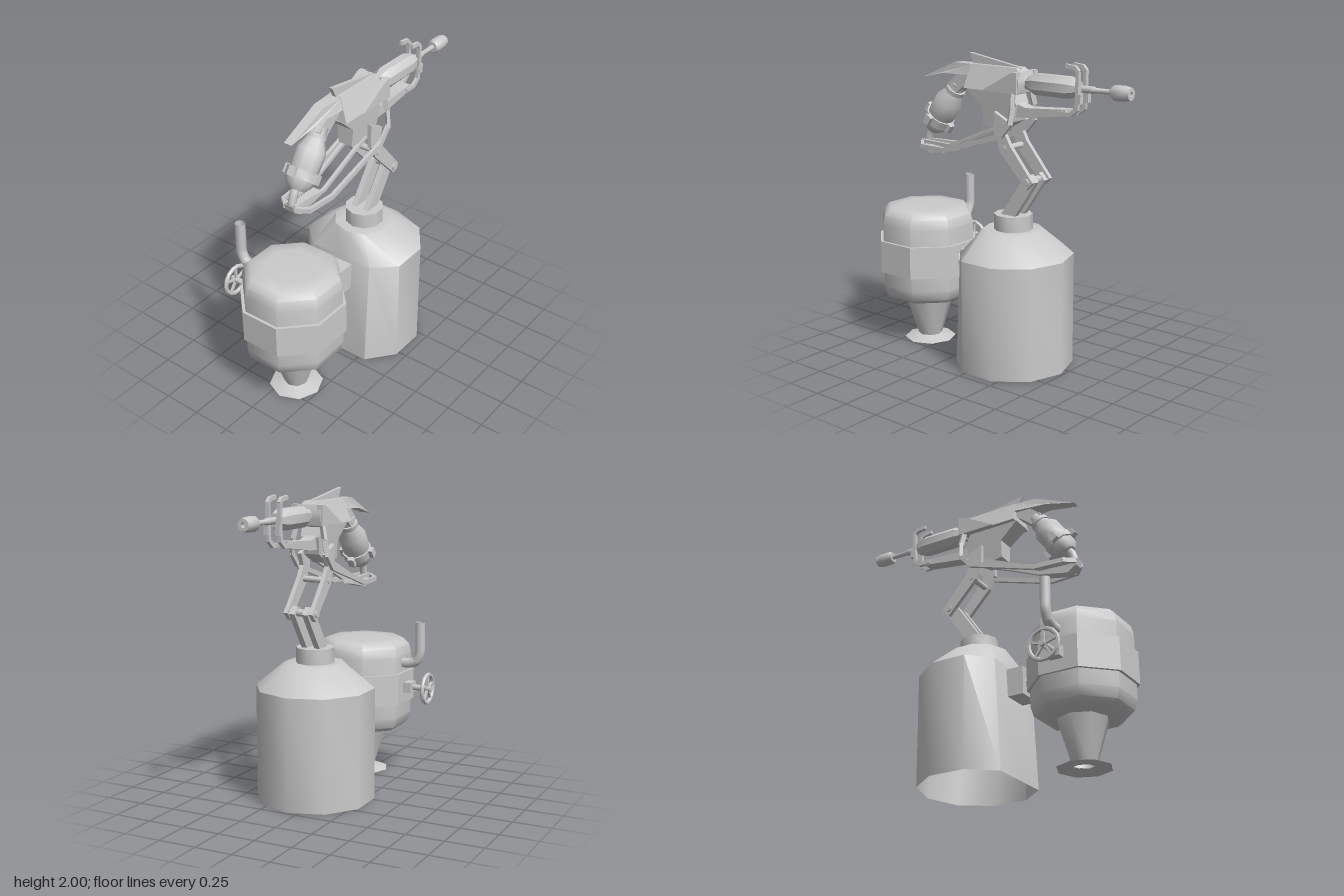
import * as THREE from 'three';
import { toCreasedNormals } from 'three/addons/utils/BufferGeometryUtils.js';

const MID = 0.07; // depth of the common centre plane
const mat = new THREE.MeshStandardMaterial({ color: 0xcccccc, side: THREE.DoubleSide });

export function createModel() {
  const model = new THREE.Group();

  const add = (name, geo, crease = 0.5, parent = model) => {
    const mesh = new THREE.Mesh(toCreasedNormals(geo, crease), mat);
    mesh.name = name;
    parent.add(mesh);
    return mesh;
  };
  // Turned shape from [radius, height] pairs, bottom to top
  const turned = (pts, sides, start = 0) =>
    new THREE.LatheGeometry(pts.map(p => new THREE.Vector2(...p)), sides, start);
  // Side profile given thickness in z; width(x, y) optionally scales it
  const plate = (name, pts, z, thick, width) => {
    const shape = new THREE.Shape(pts.map(p => new THREE.Vector2(...p)));
    const geo = new THREE.ExtrudeGeometry(shape, { depth: thick, bevelEnabled: false, curveSegments: 8 });
    geo.translate(0, 0, -thick / 2);
    if (width) {
      const p = geo.attributes.position;
      for (let i = 0; i < p.count; i++) p.setZ(i, p.getZ(i) * width(p.getX(i), p.getY(i)));
    }
    geo.translate(0, 0, z);
    return add(name, geo, 0.4);
  };
  const box = (name, x, y, z, w, h, d) =>
    add(name, new THREE.BoxGeometry(w, h, d).translate(x, y, z));
  // Square bars joining a chain of points
  const bars = (name, pts, w, h) => {
    for (let i = 1; i < pts.length; i++) {
      const a = new THREE.Vector3(...pts[i - 1]), b = new THREE.Vector3(...pts[i]);
      const m = add(name, new THREE.BoxGeometry(w, h, a.distanceTo(b) + h * 0.4));
      m.position.copy(a).lerp(b, 0.5);
      m.lookAt(b);
    }
  };
  // Pin lying along z
  const pin = (name, x, y, z, r, len, sides = 10) =>
    add(name, new THREE.CylinderGeometry(r, r, len, sides).rotateX(Math.PI / 2).translate(x, y, z), 0.8);
  const pipe = (name, pts, r, sides) => {
    const curve = new THREE.CatmullRomCurve3(pts.map(p => new THREE.Vector3(...p)), false, 'catmullrom', 0.3);
    return add(name, new THREE.TubeGeometry(curve, 24, r, sides), 0.8);
  };

  // Base tower: ten sides, flattened and leaning on the tank side
  const tower = turned([[0.39, 0], [0.39, 0.74], [0.195, 0.9], [0.125, 0.9]], 10, Math.PI / 2);
  tower.translate(0.095, 0, MID);
  const tp = tower.attributes.position;
  for (let i = 0; i < tp.count; i++) tp.setX(i, Math.max(tp.getX(i), -0.2 + 0.055 * tp.getY(i)));
  add('tower', tower, 0.8);
  add('towerNeck', turned([[0.125, 0.88], [0.125, 1], [0, 1]], 10, Math.PI / 2).translate(0.095, 0, MID), 0.8);

  // Side tank with band, foot and base flange
  const tankPart = (name, pts, crease = 0.8) =>
    add(name, turned(pts, 8, Math.PI / 8).translate(-0.65, 0, MID), crease);
  tankPart('tank', [[0, 0.3], [0.17, 0.3], [0.27, 0.318], [0.305, 0.345], [0.325, 0.41], [0.325, 0.84],
    [0.31, 0.9], [0.27, 0.938], [0.18, 0.943], [0, 0.943]]);
  tankPart('tankBand', [[0.325, 0.51], [0.345, 0.51], [0.345, 0.725], [0.325, 0.725]], 0.5);
  add('tankFoot', turned([[0.08, 0.025], [0.165, 0.3]], 8).translate(-0.64, 0, MID), 0.8);
  add('footFlange', turned([[0.08, 0.0], [0.175, 0.0], [0.08, 0.028]], 8).translate(-0.64, 0, MID));

  // Coupling between tank and tower
  box('couplingBlock', -0.215, 0.618, MID, 0.13, 0.185, 0.18);
  add('couplingPipe', turned([[0.07, 0], [0.05, 0.03], [0.05, 0.06], [0.07, 0.09]], 10)
    .rotateZ(-Math.PI / 2).translate(-0.35, 0.62, MID));

  // Exhaust pipe
  pipe('exhaustPipe', [[-0.635, 0.79, -0.2], [-0.635, 0.79, -0.28], [-0.635, 0.81, -0.33],
    [-0.635, 0.87, -0.355], [-0.635, 0.96, -0.355], [-0.635, 1.08, -0.355]], 0.034, 8);

  // Valve wheel
  box('valveMount', -0.645, 0.62, -0.27, 0.09, 0.07, 0.07);
  pin('valveShaft', -0.645, 0.62, -0.36, 0.02, 0.16, 8);
  add('valveRim', new THREE.TorusGeometry(0.098, 0.014, 6, 14).translate(-0.645, 0.62, -0.41), 0.8);
  for (let i = 0; i < 5; i++) {
    const a = i * Math.PI * 2 / 5 + Math.PI / 2;
    bars('valveSpoke', [[-0.645, 0.62, -0.41],
      [-0.645 + 0.095 * Math.cos(a), 0.62 + 0.095 * Math.sin(a), -0.41]], 0.016, 0.014);
  }

  // Folding support arm, mirrored about the centre plane
  for (const s of [-1, 1]) {
    plate('lowerArm', [[0.04, 0.99], [0.15, 0.99], [0.24, 1.12], [0.32, 1.24], [0.275, 1.285], [0.235, 1.27]],
      MID + s * 0.046, 0.038);
    plate('upperArm', [[0.275, 1.195], [0.325, 1.245], [0.145, 1.46], [0.09, 1.56], [0.02, 1.55], [0.065, 1.415]],
      MID + s * 0.088, 0.028);
    plate('pivotBracket', [[0.02, 1.5], [0.1, 1.5], [0.14, 1.6], [0.02, 1.66]], MID + s * 0.088, 0.028);
  }
  pin('elbowPin', 0.275, 1.245, MID, 0.024, 0.23);
  pin('shoulderPin', 0.1, 1.435, MID, 0.02, 0.22);

  // Receiver: tapered upper housing, lower housing, cheek plates and collar
  plate('upperReceiver', [[-0.23, 1.785], [0.19, 1.785], [0.19, 1.9], [0.15, 1.935], [-0.21, 1.935]],
    MID, 0.2, (x, y) => 1 - 0.55 * (y - 1.785) / 0.15);
  plate('lowerReceiver', [[-0.235, 1.785], [-0.11, 1.675], [-0.11, 1.555], [0.03, 1.535], [0.14, 1.6],
    [0.165, 1.71], [0.13, 1.785]], MID, 0.14, (x, y) => 0.7 + 1.2 * (y - 1.535));
  plate('topFin', [[-0.25, 2.0], [-0.21, 1.92], [0.17, 1.925], [0.16, 1.935]], MID, 0.025);
  for (const s of [-1, 1])
    plate('cheekPlate', [[-0.07, 1.785], [0.2, 1.785], [0.2, 1.915], [0.165, 1.915]], MID + s * 0.09, 0.04);
  plate('frontCollar', [[0.17, 1.775], [0.2, 1.785], [0.21, 1.835], [0.21, 1.86], [0.19, 1.915], [0.165, 1.915]],
    MID, 0.2);

  // Pointed tail cover
  plate('tailCover', [[-0.65, 1.81], [-0.45, 1.855], [-0.2, 1.865], [-0.18, 1.932], [-0.36, 1.932]],
    MID, 0.14, (x, y) => (0.4 + 1.3 * (x + 0.65)) * (y > 1.9 ? 0.65 : 1));

  // Barrel with tip
  const alongX = geo => geo.rotateZ(-Math.PI / 2).translate(0, 1.845, MID);
  add('barrel', alongX(turned([[0, 0.17], [0.055, 0.17], [0.04, 0.215], [0.07, 0.28], [0.07, 0.53], [0.045, 0.6],
    [0, 0.6]], 8, Math.PI / 8)));
  add('barrelRod', alongX(turned([[0.022, 0.59], [0.022, 0.68], [0.022, 0.7], [0.016, 0.71], [0.016, 0.84]], 10)), 0.8);
  add('barrelTip', alongX(turned([[0, 0.83], [0.035, 0.83], [0.047, 0.85], [0.047, 0.92], [0.038, 0.96],
    [0.015, 0.96], [0.015, 0.93], [0, 0.93]], 10)), 0.8);

  // Fore arm and twin hooked guards
  plate('foreArm', [[0.12, 1.76], [0.15, 1.63], [0.24, 1.635], [0.52, 1.675], [0.52, 1.715], [0.22, 1.695], [0.17, 1.71]],
    MID, 0.085);
  for (const s of [-1, 1]) {
    const z = MID + s * 0.04;
    bars('guardHook', [[0.48, 1.69, z], [0.56, 1.69, z], [0.605, 1.725, z], [0.612, 1.8, z], [0.612, 1.95, z],
      [0.59, 1.972, z], [0.53, 1.978, z]], 0.022, 0.026);
    box('guardClamp', 0.625, 1.79, z, 0.03, 0.06, 0.03);
  }
  box('guardBridge', 0.61, 1.845, MID, 0.025, 0.03, 0.11);

  // Slanted canister behind the receiver
  const canister = new THREE.Group();
  canister.name = 'canister';
  canister.position.set(-0.385, 1.745, MID);
  canister.rotation.z = -0.63;
  model.add(canister);
  add('canisterBody', turned([[0, -0.34], [0.05, -0.34], [0.085, -0.3], [0.092, -0.25], [0.088, -0.215],
    [0.092, -0.2], [0.094, -0.09], [0.06, -0.02], [0.052, 0.01], [0.052, 0.06], [0, 0.06]], 10), 0.8, canister);
  add('canisterRing', turned([[0.052, -0.015], [0.066, -0.015], [0.066, 0.015], [0.052, 0.015]], 10), 0.8, canister);
  add('canisterStrap', turned([[0.09, -0.27], [0.101, -0.27], [0.101, -0.215], [0.09, -0.215]], 10), 0.8, canister);
  for (let i = 0; i < 4; i++)
    add('strapLug', new THREE.BoxGeometry(0.035, 0.06, 0.045).translate(0.105, -0.242, 0)
      .rotateY(i * Math.PI / 2), 0.5, canister);
  bars('canisterNeck', [[-0.375, 1.765, MID], [-0.22, 1.89, MID]], 0.085, 0.09);

  // Hose from the canister down to the lower frame
  pipe('canisterHose', [[-0.575, 1.5, MID], [-0.61, 1.45, MID], [-0.63, 1.38, MID], [-0.59, 1.345, MID]], 0.026, 8);

  // Lower frame: keel and a pair of side rails sweeping up to the receiver
  plate('keel', [[-0.66, 1.395], [-0.65, 1.35], [-0.585, 1.308], [-0.38, 1.35], [-0.39, 1.375], [-0.6, 1.36]], MID, 0.07);
  for (const s of [-1, 1]) {
    bars('sideRail', [[-0.645, 1.375, MID + s * 0.04], [-0.59, 1.365, MID + s * 0.1], [-0.39, 1.365, MID + s * 0.115],
      [0.09, 1.515, MID + s * 0.125], [0.165, 1.6, MID + s * 0.125], [0.175, 1.7, MID + s * 0.11],
      [0.165, 1.79, MID + s * 0.09]], 0.022, 0.032);
    bars('innerRail', [[-0.64, 1.385, MID + s * 0.03], [-0.39, 1.385, MID + s * 0.05],
      [-0.1, 1.51, MID + s * 0.05], [0.03, 1.56, MID + s * 0.05]], 0.022, 0.022);
  }
  return model;
}
